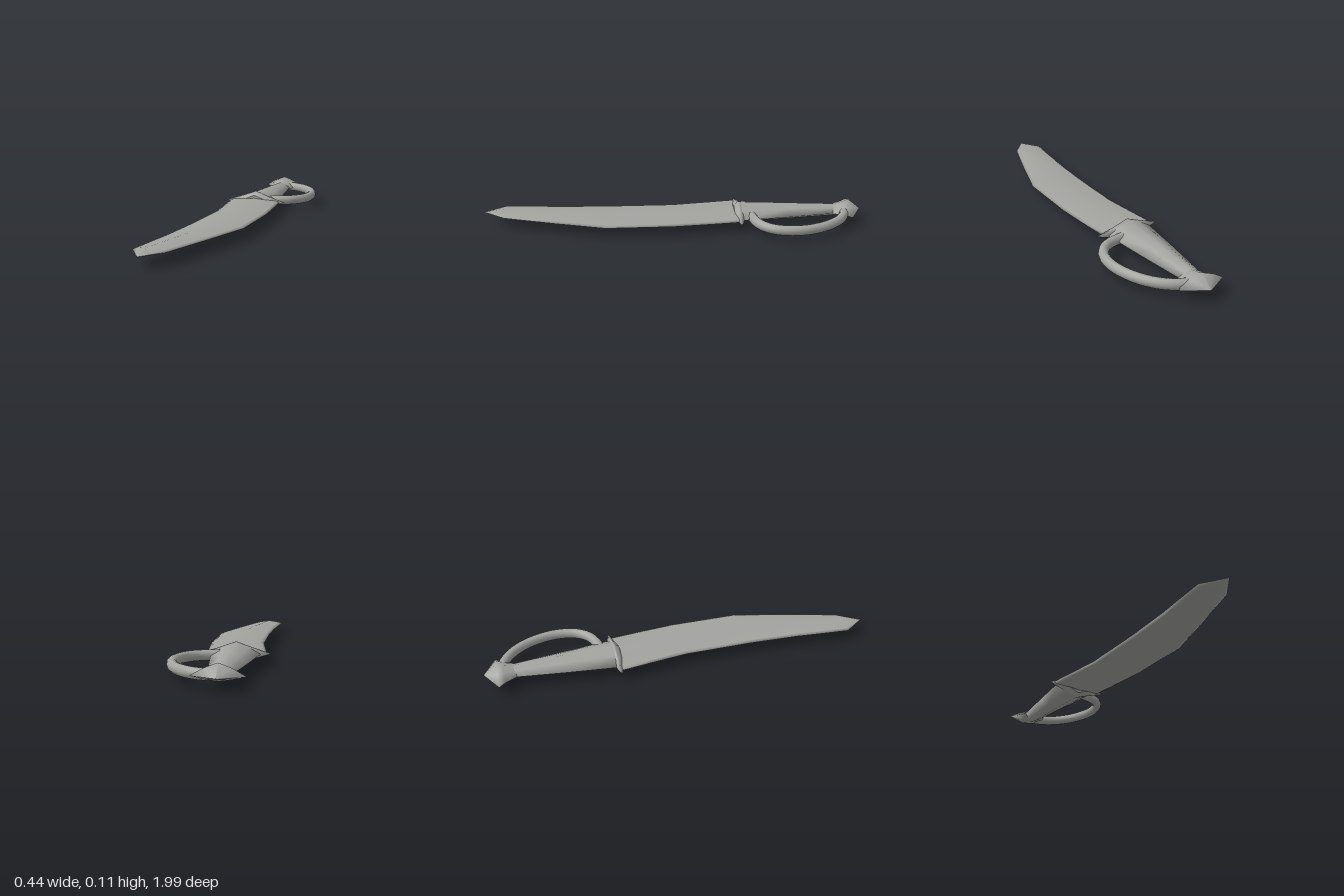
import * as THREE from 'three';

const MID_Y = 0.058;

// Skin a list of equal-length rings (counter-clockwise seen from +z, z increasing), with end caps.
function loft(rings) {
  const pos = [], idx = [], n = rings[0].length;
  rings.forEach(r => r.forEach(p => pos.push(...p)));
  for (let i = 0; i < rings.length - 1; i++) {
    for (let j = 0; j < n; j++) {
      const a = i * n + j, b = i * n + (j + 1) % n;
      idx.push(a, b, a + n, b, b + n, a + n);
    }
  }
  const cap = (ring, flip) => {
    const s = pos.length / 3;
    ring.forEach(p => pos.push(...p));
    for (let j = 1; j < n - 1; j++) {
      if (flip) idx.push(s, s + j + 1, s + j);
      else idx.push(s, s + j, s + j + 1);
    }
  };
  cap(rings[0], true);
  cap(rings[rings.length - 1], false);
  const g = new THREE.BufferGeometry();
  g.setAttribute('position', new THREE.Float32BufferAttribute(pos, 3));
  g.setIndex(idx);
  g.computeVertexNormals();
  return g;
}

// Lens-like blade section with narrow honed edges.
function bladeRing([z, x0, x1, h]) {
  const c = (x0 + x1) / 2, e = Math.min(0.016, (x1 - x0) * 0.2), k = h * 0.4;
  return [[x1, 0], [x1 - e, k], [c, h], [x0 + e, k], [x0, 0], [x0 + e, -k], [c, -h], [x1 - e, -k]]
    .map(([x, y]) => [x, MID_Y + y, z]);
}

// Diamond section with softened sides: half width w, upper height up, lower height down.
function diamondRing([z, w, up, down, bulge = 0.5, cx = -0.053]) {
  return [[1, 0], [0.5, bulge], [0, 1], [-0.5, bulge], [-1, 0], [-0.5, -bulge], [0, -1], [0.5, -bulge]]
    .map(([x, y]) => [cx + x * w, MID_Y + y * (y > 0 ? up : down), z]);
}

export function createModel() {
  const group = new THREE.Group();
  const steel = new THREE.MeshStandardMaterial({ color: 0xa3a3a0 });
  steel.name = 'grey steel';
  const add = (name, geometry) => {
    const mesh = new THREE.Mesh(geometry, steel);
    mesh.name = name;
    group.add(mesh);
    return mesh;
  };

  // Curved blade: z, left edge, right edge, half thickness
  add('blade', loft([
    [-0.345, -0.2, 0.087, 0.019],
    [-0.18, -0.178, 0.104, 0.019],
    [0, -0.155, 0.12, 0.019],
    [0.35, -0.155, 0.12, 0.019],
    [0.6, -0.165, 0.053, 0.019],
    [0.88, -0.19, -0.03, 0.018],
    [0.99, -0.113, -0.111, 0.002],
  ].map(bladeRing)));

  // Pointed crossguard, thickest at its middle
  add('crossguard', loft([
    [-0.368, 0.1, 0.05, 0.05],
    [-0.352, 0.16, 0.056, 0.056, 0.47],
    [-0.342, 0.17, 0.056, 0.056, 0.47],
    [-0.322, 0.09, 0.036, 0.036],
  ].map(diamondRing)));

  // Tapering grip
  add('grip', loft([
    [-0.92, 0.048, 0.028, 0.022, 0.62],
    [-0.84, 0.058, 0.032, 0.036, 0.62],
    [-0.6, 0.09, 0.043, 0.046, 0.6],
    [-0.35, 0.119, 0.054, 0.054, 0.58],
  ].map(diamondRing)));

  // Faceted pommel
  add('pommel', loft([
    [-0.995, 0.004, 0.004, 0.002],
    [-0.932, 0.117, 0.055, 0.022, 0.6],
    [-0.9, 0.09, 0.042, 0.026, 0.6],
    [-0.84, 0.058, 0.028, 0.028, 0.6],
  ].map(diamondRing)));

  // Knuckle bow on one side of the grip
  const path = new THREE.CatmullRomCurve3([
    [-0.02, -0.905], [0.04, -0.885], [0.105, -0.835], [0.165, -0.745], [0.197, -0.62],
    [0.18, -0.51], [0.13, -0.445], [0.075, -0.42], [0.01, -0.408],
  ].map(([x, z]) => new THREE.Vector3(x, 0, z)));
  const bow = add('knuckleBow', new THREE.TubeGeometry(path, 32, 0.0245, 12));
  bow.scale.y = 1.06;
  bow.position.y = MID_Y;

  return group;
}
